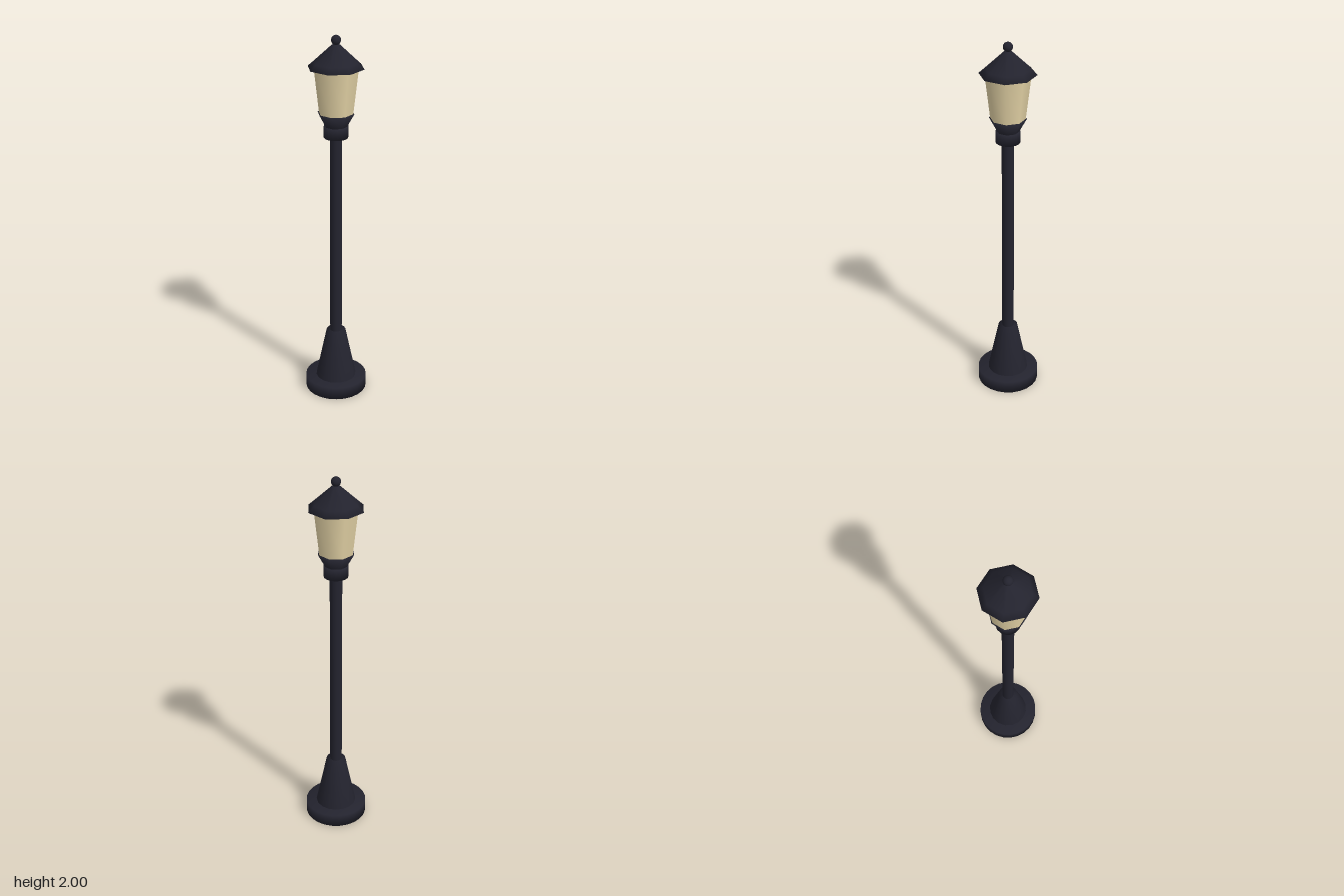
import * as THREE from 'three';

export function createModel() {
  const model = new THREE.Group();
  model.name = 'streetLamp';

  const iron = new THREE.MeshStandardMaterial({ color: 0x23232e });
  iron.name = 'dark iron';
  const glass = new THREE.MeshStandardMaterial({ color: 0xe4d3a6 });
  glass.name = 'warm glass';

  // Turns a profile of [radius, height] points, listed from the bottom up
  const turned = (name, profile, sides, material = iron) => {
    const points = profile.map(([r, y]) => new THREE.Vector2(r, y));
    const mesh = new THREE.Mesh(new THREE.LatheGeometry(points, sides), material);
    mesh.name = name;
    model.add(mesh);
    return mesh;
  };

  // Foot, pedestal and post
  turned('base', [[0, 0], [0.167, 0], [0.167, 0.07], [0, 0.07]], 24);
  turned('pedestal', [[0.11, 0.07], [0.052, 0.35], [0, 0.35]], 16);
  turned('post', [[0.032, 0.34], [0.032, 1.48]], 16);

  // Collar and eight-sided cup under the lantern
  turned('collar', [[0, 1.47], [0.0635, 1.47], [0.0635, 1.53], [0, 1.53]], 16);
  turned('lanternCup', [[0.055, 1.525], [0.096, 1.6], [0, 1.6]], 8);

  // Flared lantern body
  turned('lanternGlass', [[0.09, 1.6], [0.117, 1.836]], 8, glass);

  // Eight-sided roof with an overhanging eave
  turned('roof', [[0, 1.835], [0.115, 1.835], [0.146, 1.835], [0.115, 1.863], [0.022, 1.95], [0, 1.952]], 8);

  // Ball on top
  const finial = new THREE.Mesh(new THREE.SphereGeometry(0.025, 16, 12), iron);
  finial.name = 'finial';
  finial.position.y = 1.975;
  model.add(finial);

  return model;
}
